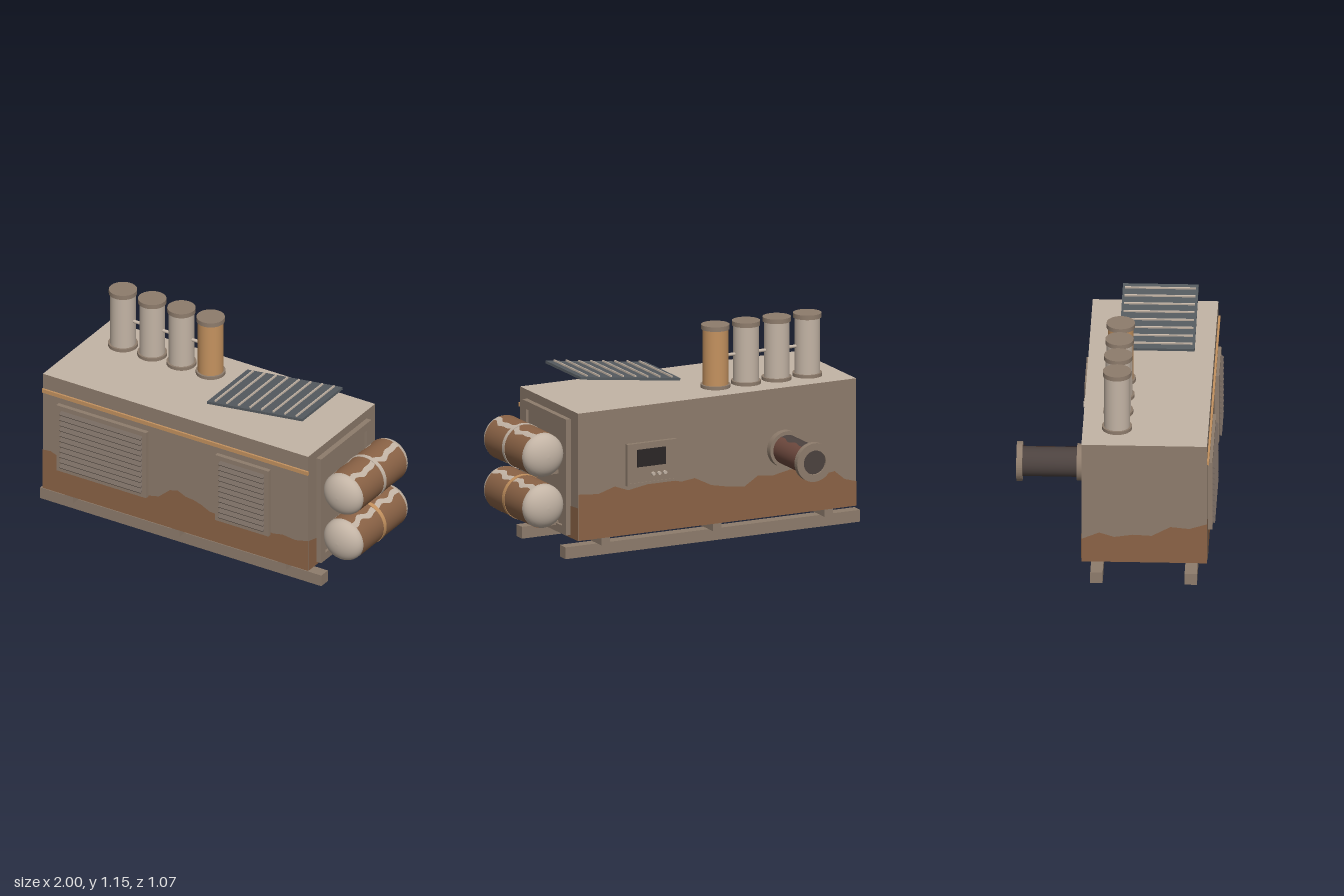
import * as THREE from 'three';

const mat = (name, color, side = THREE.FrontSide) => {
  const m = new THREE.MeshStandardMaterial({ color, side });
  m.name = name;
  return m;
};

export function createModel() {
  const root = new THREE.Group();
  root.name = 'generator';
  const M = {
    steel: mat('weathered steel', 0x8e7c6c),
    pale: mat('pale paint', 0xc3b4a5),
    rust: mat('rust', 0x8b6346, THREE.DoubleSide),
    orange: mat('orange primer', 0xc4925f),
    dark: mat('sooty metal', 0x4c423f),
    red: mat('burnt rust', 0x6e493e, THREE.DoubleSide),
    slat: mat('louvre slat', 0x75685f),
    solar: mat('solar panel', 0x555b60),
    under: mat('underside', 0x6a655c),
    screen: mat('screen', 0x2b2626),
  };

  const add = (name, geo, m, x = 0, y = 0, z = 0, parent = root) => {
    const mesh = new THREE.Mesh(geo, m);
    mesh.name = name;
    mesh.position.set(x, y, z);
    parent.add(mesh);
    return mesh;
  };
  // box given by its lower and upper limits on each axis
  const box = (name, m, x0, x1, y0, y1, z0, z1, parent = root) =>
    add(name, new THREE.BoxGeometry(x1 - x0, y1 - y0, z1 - z0), m,
      (x0 + x1) / 2, (y0 + y1) / 2, (z0 + z1) / 2, parent);
  const group = (name) => {
    const g = new THREE.Group();
    g.name = name;
    root.add(g);
    return g;
  };
  // rectangular frame with an opening, standing in the xy plane
  const frameGeo = (w, h, border, depth) => {
    const rect = (S, a, b) => new S([[-a, -b], [a, -b], [a, b], [-a, b]].map((p) => new THREE.Vector2(...p)));
    const s = rect(THREE.Shape, w / 2, h / 2);
    s.holes.push(rect(THREE.Path, w / 2 - border, h / 2 - border));
    return new THREE.ExtrudeGeometry(s, { depth, bevelEnabled: false });
  };
  // curved stain on a cylinder that runs along z, with wavy long edges
  const stain = (r, z0, z1, a0, a1, seed) => {
    const g = new THREE.PlaneGeometry(1, 1, 16, 30);
    const p = g.attributes.position;
    const wave = (z, k) => 0.07 * Math.sin(z * 34 + k) + 0.05 * Math.sin(z * 61 + 2 * k);
    for (let i = 0; i < p.count; i++) {
      const z = THREE.MathUtils.lerp(z0, z1, p.getY(i) + 0.5);
      const a = THREE.MathUtils.lerp(a0 + wave(z, seed), a1 + wave(z, seed + 2), p.getX(i) + 0.5);
      p.setXYZ(i, r * Math.cos(a), r * Math.sin(a), z);
    }
    g.computeVertexNormals();
    return g;
  };

  // skid base
  for (const z of [0.41, -0.093]) box('skidRail', M.steel, -1, 0.77, 0, 0.065, z - 0.033, z + 0.033);
  for (const x of [-0.785, -0.115, 0.555]) box('crossMember', M.steel, x - 0.025, x + 0.025, 0.065, 0.105, -0.175, 0.495);

  // housing
  const [X0, X1, Y0, Y1, Z0, Z1] = [-0.95, 0.72, 0.105, 0.805, -0.175, 0.495];
  add('housing', new THREE.BoxGeometry(X1 - X0, Y1 - Y0, Z1 - Z0),
    [M.steel, M.steel, M.pale, M.under, M.steel, M.steel], (X0 + X1) / 2, (Y0 + Y1) / 2, (Z0 + Z1) / 2);
  box('trimStrip', M.orange, X0, 0.725, 0.695, 0.717, Z1, 0.506);

  // rust creeping up the walls; points are distance along the wall and height
  const rustSheet = (pts) => {
    const s = new THREE.Shape();
    s.moveTo(pts[0][0], Y0);
    pts.forEach((p) => s.lineTo(p[0], p[1]));
    s.lineTo(pts[pts.length - 1][0], Y0);
    return new THREE.ShapeGeometry(s);
  };
  add('frontRust', rustSheet([[X0, 0.34], [-0.9, 0.345], [-0.86, 0.33], [-0.8, 0.29], [-0.6, 0.27], [-0.4, 0.28],
    [-0.28, 0.262], [-0.22, 0.275], [-0.19, 0.3], [-0.15, 0.335], [-0.1, 0.348], [-0.05, 0.325], [0, 0.32],
    [0.05, 0.305], [0.1, 0.28], [0.2, 0.275], [0.4, 0.28], [0.5, 0.268], [0.56, 0.28], [0.64, 0.27], [X1, 0.288]]), M.rust, 0, 0, Z1 + 0.002);
  add('backRust', rustSheet([[X0, 0.24], [-0.88, 0.26], [-0.82, 0.31], [-0.74, 0.3], [-0.68, 0.35], [-0.55, 0.35],
    [-0.45, 0.33], [-0.36, 0.34], [-0.28, 0.29], [-0.18, 0.3], [-0.08, 0.32], [0.02, 0.37], [0.1, 0.36], [0.2, 0.385],
    [0.3, 0.37], [0.42, 0.35], [0.5, 0.38], [0.6, 0.35], [X1, 0.36]]), M.rust, 0, 0, Z0 - 0.002);
  const leftRust = add('tankEndRust', rustSheet([[Z0, 0.285], [-0.1, 0.28], [0, 0.26], [0.2, 0.29], [0.35, 0.26],
    [0.42, 0.27], [Z1, 0.288]]), M.rust, X1 + 0.002);
  const rightRust = add('plainEndRust', rustSheet([[Z0, 0.24], [-0.08, 0.28], [0, 0.255], [0.1, 0.27], [0.2, 0.265],
    [0.3, 0.32], [0.4, 0.31], [Z1, 0.34]]), M.rust, X0 - 0.002);
  leftRust.rotation.y = rightRust.rotation.y = -Math.PI / 2;

  // louvred vents
  for (const [x0, x1] of [[-0.85, -0.285], [0.15, 0.485]]) {
    const vent = group('vent');
    const b = 0.026, w = x1 - x0, cx = (x0 + x1) / 2;
    add('ventFrame', frameGeo(w, 0.4, b, 0.025), M.steel, cx, 0.455, Z1, vent);
    box('ventBack', M.dark, x0 + b, x1 - b, 0.28, 0.63, Z1, Z1 + 0.006, vent);
    for (let i = 0; i < 11; i++) {
      const s = add('slat', new THREE.BoxGeometry(w - 2 * b, 0.007, 0.036), M.slat, cx, 0.293 + i * 0.0325, 0.517, vent);
      s.rotation.x = 0.6;
    }
  }

  // end panel and tanks
  box('endPanel', M.steel, X1, 0.735, 0.12, 0.757, -0.09, 0.412);
  add('endPanelFrame', frameGeo(0.502, 0.637, 0.045, 0.03), M.steel, X1, 0.4385, 0.161).rotation.y = Math.PI / 2;
  const tankProfile = [];
  for (let i = 0; i <= 10; i++) {
    const a = (i / 10) * Math.PI / 2;
    tankProfile.push(new THREE.Vector2(0.12 * Math.sin(a), -0.2175 - 0.071 * Math.cos(a)));
  }
  tankProfile.push(...tankProfile.slice().reverse().map((p) => new THREE.Vector2(p.x, -p.y)));
  [[0.57, M.pale], [0.29, M.orange]].forEach(([y, bandMat], i) => {
    const tank = group('tank');
    tank.position.set(0.873, y, 0.161);
    add('tankShell', new THREE.LatheGeometry(tankProfile, 40).rotateX(Math.PI / 2), M.pale, 0, 0, 0, tank);
    for (const [a0, a1] of [[-0.92, 0.92], [1.2, 2.2], [-2.2, -1.2]])
      add('tankRust', stain(0.1215, -0.217, 0.217, a0, a1, i * 1.7 + a0), M.rust, 0, 0, 0, tank);
    add('tankBand', new THREE.CylinderGeometry(0.124, 0.124, 0.025, 40).rotateX(Math.PI / 2), bandMat, 0, 0, 0, tank);
    for (const z of [0.28, 0.045]) box('tankBracket', M.steel, 0.73, 0.87, y - 0.137, y - 0.115, z - 0.02, z + 0.02);
  });

  // chimney stacks
  const cyl = (r, h) => new THREE.CylinderGeometry(r, r, h, 32);
  for (let i = 0; i < 4; i++) {
    const stack = group('stack');
    stack.position.set(-0.752 + i * 0.184, Y1, 0.008);
    add('stackBase', cyl(0.08, 0.018), M.steel, 0, 0.009, 0, stack);
    add('stackTube', cyl(0.069, 0.31), i === 3 ? M.orange : M.pale, 0, 0.17, 0, stack);
    add('stackCap', cyl(0.076, 0.025), M.steel, 0, 0.3325, 0, stack);
  }
  add('stackLink', cyl(0.009, 0.5).rotateZ(Math.PI / 2), M.pale, -0.476, 0.972, 0.008);

  // tilted solar panel with ribs
  const solar = group('solarPanel');
  solar.position.set(0.32, 0.913, 0.192);
  solar.rotation.z = 0.125;
  add('panelSheet', new THREE.BoxGeometry(0.604, 0.014, 0.404), M.solar, 0, 0, 0, solar);
  for (let i = 0; i < 8; i++) add('panelRib', new THREE.BoxGeometry(0.008, 0.01, 0.38), M.pale, -0.257 + i * 0.0735, 0.011, 0, solar);

  // rear exhaust
  const exhaust = group('exhaust');
  exhaust.position.set(-0.515, 0.473, 0);
  const pipe = (name, r, z0, z1, m) => add(name, cyl(r, z1 - z0).rotateX(Math.PI / 2), m, 0, 0, (z0 + z1) / 2, exhaust);
  pipe('exhaustBase', 0.1, -0.213, -0.175, M.steel);
  pipe('exhaustTube', 0.08, -0.51, -0.2, M.dark);
  add('exhaustRust', stain(0.0815, -0.503, -0.213, -1.1, 1.1, 0.5), M.red, 0, 0, 0, exhaust);
  const ring = new THREE.Shape().absarc(0, 0, 0.106, 0, Math.PI * 2);
  ring.holes.push(new THREE.Path().absarc(0, 0, 0.066, 0, Math.PI * 2, true));
  add('exhaustFlange', new THREE.ExtrudeGeometry(ring, { depth: 0.032, bevelEnabled: false, curveSegments: 24 }), M.steel, 0, 0, -0.535, exhaust);
  pipe('exhaustMouth', 0.068, -0.525, -0.505, M.dark);

  // rear control panel
  const control = group('controlPanel');
  box('controlPlate', M.steel, 0.14, 0.435, 0.375, 0.605, -0.193, Z0, control);
  add('controlFrame', frameGeo(0.295, 0.23, 0.014, 0.022), M.steel, 0.2875, 0.49, -0.197, control);
  box('controlScreen', M.screen, 0.205, 0.375, 0.475, 0.57, -0.199, -0.193, control);
  for (const x of [0.21, 0.245, 0.28]) add('controlKnob', cyl(0.01, 0.014).rotateX(Math.PI / 2), M.pale, x, 0.43, -0.199, control);

  return root;
}
